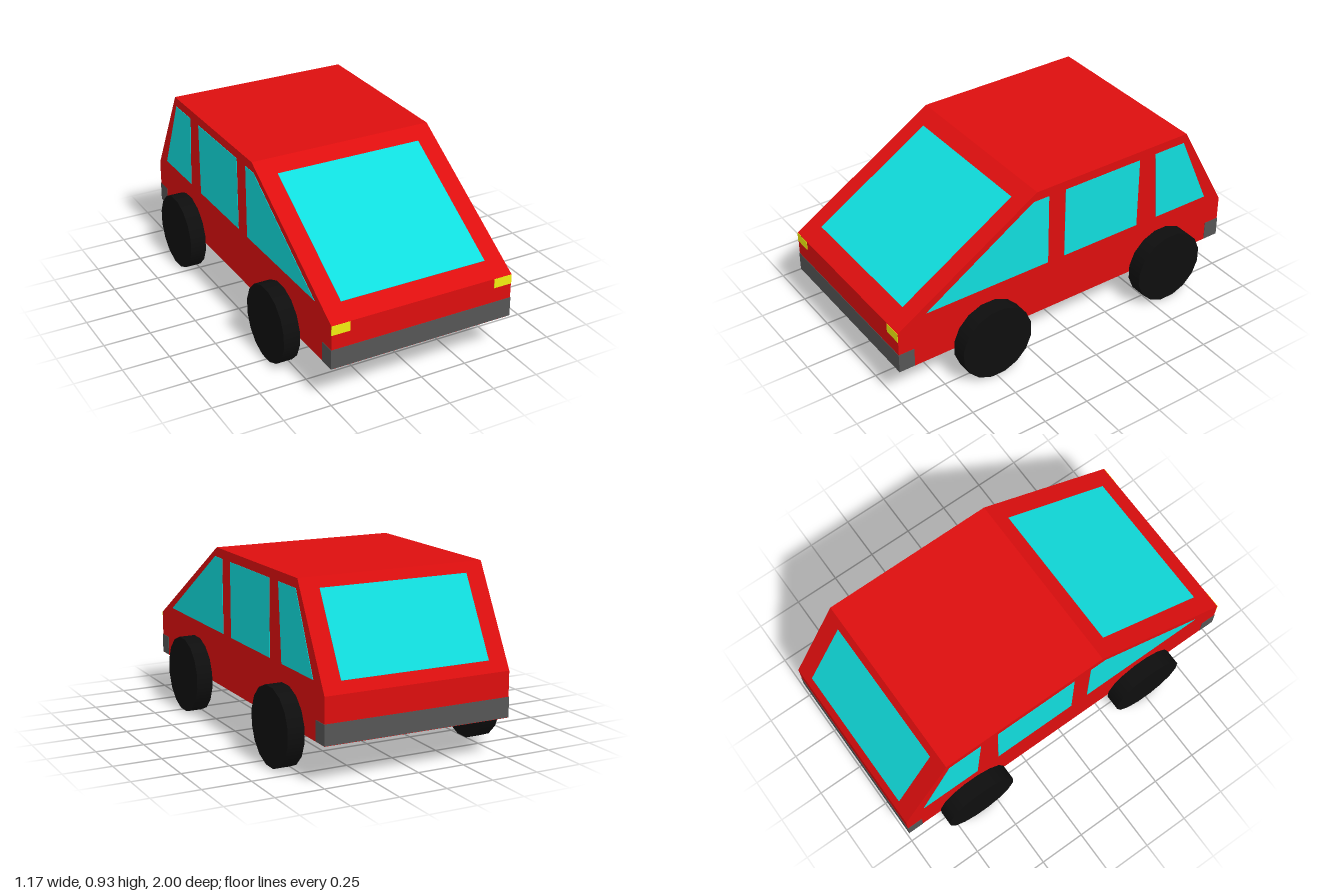
import * as THREE from 'three';

const paint = (color) => new THREE.MeshStandardMaterial({ color });
const EPS = 0.002; // how far the glass and lamps stand proud of the body

export function createModel() {
  const car = new THREE.Group();
  car.name = 'car';
  const red = paint(0xdd0e0e), grey = paint(0x555555), black = paint(0x0e0e0e), yellow = paint(0xf2ee10);
  const glass = paint(0x10dddd);

  const add = (name, geometry, material, x = 0, y = 0, z = 0) => {
    const mesh = new THREE.Mesh(geometry, material);
    mesh.name = name;
    mesh.position.set(x, y, z);
    car.add(mesh);
    return mesh;
  };

  // Side outline given as [z, y], extruded across the car's width
  const acrossWidth = (points, width) => {
    const shape = new THREE.Shape(points.map(([z, y]) => new THREE.Vector2(z, y)));
    return new THREE.ExtrudeGeometry(shape, { depth: width, bevelEnabled: false })
      .translate(0, 0, -width / 2)
      .rotateY(-Math.PI / 2);
  };

  // Body shell
  const body = [[1, 0.205], [1, 0.44], [0.2, 0.935], [-0.73, 0.935], [-1, 0.44], [-1, 0.205]];
  add('body', acrossWidth(body, 1), red);

  // Side windows: thin panes on both flanks
  const sideWindows = {
    frontSideWindow: [[0.84, 0.492], [0.22, 0.886], [0.13, 0.886], [0.13, 0.492]],
    middleSideWindow: [[0.03, 0.492], [0.03, 0.886], [-0.43, 0.886], [-0.43, 0.492]],
    rearSideWindow: [[-0.53, 0.886], [-0.715, 0.886], [-0.89, 0.492], [-0.56, 0.492]],
  };
  for (const [name, outline] of Object.entries(sideWindows)) {
    for (const side of [-1, 1]) add(name, acrossWidth(outline, 2 * EPS), glass, side * 0.5);
  }

  // Windshield and rear window: thin panes lying on the sloping faces
  const slopedPane = (name, [z0, y0], [z1, y1]) => {
    const pane = add(name, new THREE.BoxGeometry(0.8, Math.hypot(z1 - z0, y1 - y0), 2 * EPS), glass,
      0, (y0 + y1) / 2, (z0 + z1) / 2);
    pane.rotation.x = Math.atan2(z1 - z0, y1 - y0);
  };
  slopedPane('windshield', [0.91, 0.496], [0.28, 0.885]);
  slopedPane('rearWindow', [-0.97, 0.495], [-0.757, 0.885]);

  // Bumpers wrap the lower corners at both ends
  const bumper = new THREE.BoxGeometry(1 + 2 * EPS, 0.103, 0.085 + EPS);
  add('frontBumper', bumper, grey, 0, 0.2585, 0.9585);
  add('rearBumper', bumper, grey, 0, 0.2585, -0.9585);

  // Headlights
  for (const side of [-1, 1]) {
    add('headlight', new THREE.BoxGeometry(0.1, 0.05, 2 * EPS), yellow, side * 0.45, 0.414, 1);
  }

  // Wheels sit against the outside of the body
  const wheel = new THREE.CylinderGeometry(0.203, 0.203, 0.087, 16, 1, false, Math.PI / 16).rotateZ(Math.PI / 2);
  for (const side of [-1, 1]) {
    add('frontWheel', wheel, black, side * 0.5435, 0.203, 0.49);
    add('rearWheel', wheel, black, side * 0.5435, 0.203, -0.6);
  }
  return car;
}
